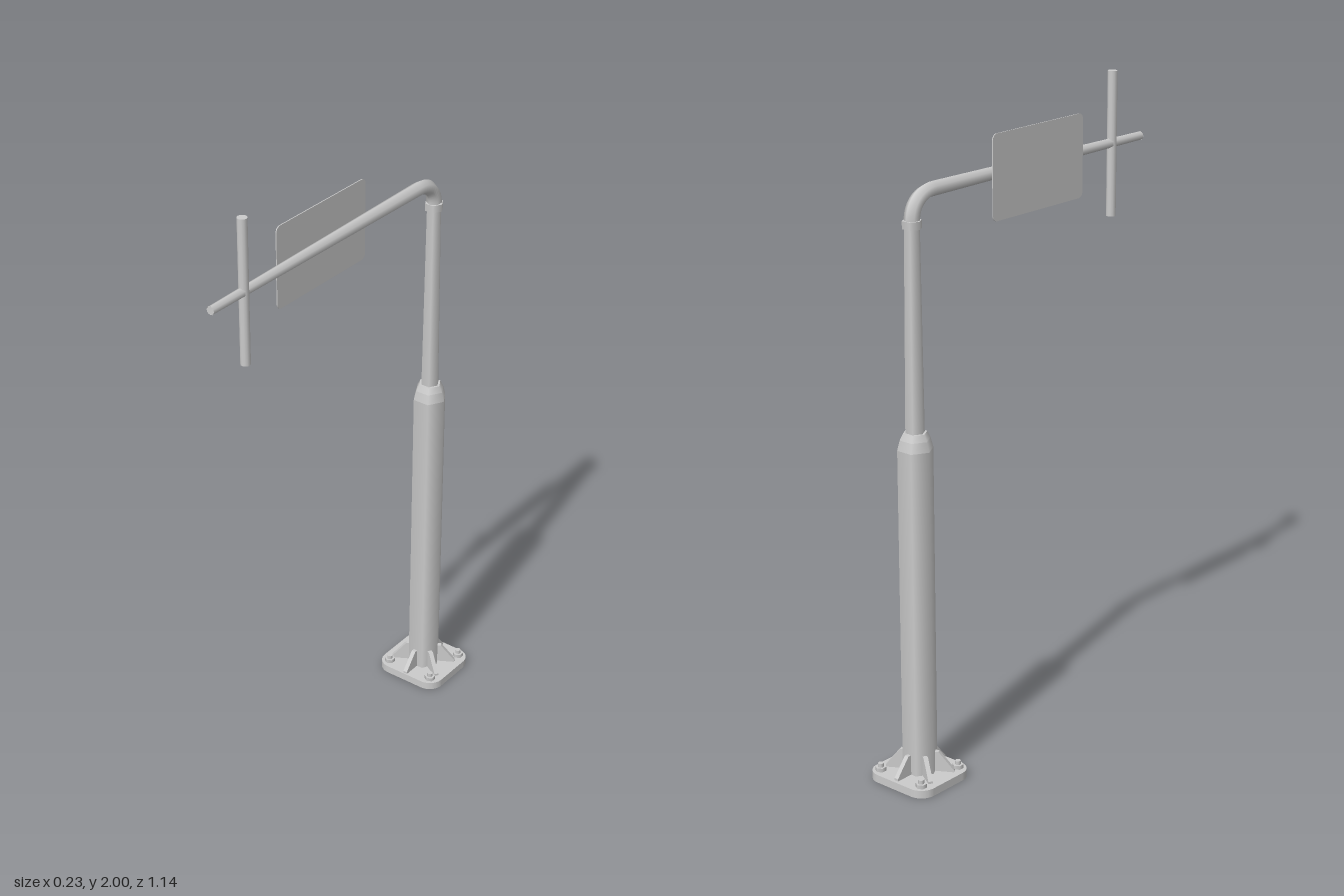
import * as THREE from 'three';

const POLE_Z = -0.457;
const HEX = Math.PI / 6; // turns a six-sided tube so its corners lie on x

export function createModel() {
  const root = new THREE.Group();
  const mat = new THREE.MeshStandardMaterial({ color: 0xcccccc, side: THREE.DoubleSide });

  const add = (name, geo, x = 0, y = 0, z = 0, parent = root) => {
    const mesh = new THREE.Mesh(geo, mat);
    mesh.name = name;
    mesh.position.set(x, y, z);
    parent.add(mesh);
    return mesh;
  };

  // Six-sided tapered tube between two heights on the pole axis
  const hexTube = (name, r0, r1, y0, y1, open = false) =>
    add(name, new THREE.CylinderGeometry(r1, r0, y1 - y0, 6, 1, open, HEX), 0, (y0 + y1) / 2, POLE_Z);

  const roundedRect = (w, h, r, C = THREE.Shape) => {
    const s = new C(), a = w / 2 - r, b = h / 2 - r;
    s.absarc(a, b, r, 0, Math.PI / 2);
    s.absarc(-a, b, r, Math.PI / 2, Math.PI);
    s.absarc(-a, -b, r, Math.PI, Math.PI * 1.5);
    s.absarc(a, -b, r, Math.PI * 1.5, Math.PI * 2);
    s.closePath();
    return s;
  };
  const extrude = (shape, depth) =>
    new THREE.ExtrudeGeometry(shape, { depth, bevelEnabled: false, curveSegments: 8 });

  // Base plate: hollow underneath, with a rim
  const base = new THREE.Group();
  base.name = 'base';
  base.position.z = -0.46;
  root.add(base);
  add('basePlate', extrude(roundedRect(0.232, 0.222, 0.048), 0.008).rotateX(-Math.PI / 2), 0, 0.017, 0, base);
  const rim = roundedRect(0.232, 0.222, 0.048);
  rim.holes.push(roundedRect(0.212, 0.202, 0.038, THREE.Path));
  add('baseRim', extrude(rim, 0.017).rotateX(-Math.PI / 2), 0, 0, 0, base);

  // Anchor bolts in the corners
  for (const sx of [-1, 1]) for (const sz of [-1, 1]) {
    const bolt = new THREE.Group();
    bolt.name = 'anchorBolt';
    bolt.position.set(sx * 0.082, 0.025, sz * 0.081);
    base.add(bolt);
    add('nut', new THREE.CylinderGeometry(0.017, 0.017, 0.012, 6), 0, 0.006, 0, bolt);
    add('stud', new THREE.CylinderGeometry(0.009, 0.009, 0.024, 8), 0, 0.012, 0, bolt);
  }

  // Six gussets on the faces of the pole
  const fin = new THREE.Shape([[0.03, 0.006], [0.104, 0.006], [0.104, 0.032], [0.058, 0.088], [0.03, 0.088]]
    .map(([x, y]) => new THREE.Vector2(x, y)));
  const finGeo = extrude(fin, 0.014).translate(0, 0, -0.007);
  for (let i = 0; i < 6; i++) {
    add('gusset', finGeo, 0, 0, POLE_Z).rotation.y = HEX + i * Math.PI / 3;
  }

  // Pole in stacked sections
  hexTube('lowerPole', 0.054, 0.054, 0.003, 1.04, true);
  hexTube('poleShoulder', 0.054, 0.046, 1.04, 1.07, true);
  hexTube('poleShoulderTop', 0.046, 0.036, 1.07, 1.09);
  hexTube('upperPole', 0.029, 0.023, 1.085, 1.7);
  hexTube('collar', 0.029, 0.029, 1.685, 1.708);

  // Bent arm, tapering toward its tip
  const P = (y, z) => new THREE.Vector3(0, y, z);
  const path = new THREE.CurvePath();
  path.add(new THREE.LineCurve3(P(1.69, POLE_Z), P(1.705, POLE_Z)));
  path.add(new THREE.CubicBezierCurve3(P(1.705, POLE_Z), P(1.75, POLE_Z), P(1.782, -0.425), P(1.782, -0.37)));
  path.add(new THREE.LineCurve3(P(1.782, -0.37), P(1.78, 0.57)));
  const steps = 90;
  const armGeo = new THREE.TubeGeometry(path, steps, 1, 6, false);
  const pos = armGeo.attributes.position, v = new THREE.Vector3();
  for (let i = 0; i <= steps; i++) {
    const c = path.getPointAt(i / steps);
    const r = THREE.MathUtils.lerp(0.0235, 0.0135, i / steps);
    for (let j = 0; j < 7; j++) {
      const k = i * 7 + j;
      v.fromBufferAttribute(pos, k).sub(c).multiplyScalar(r).add(c);
      pos.setXYZ(k, v.x, v.y, v.z);
    }
  }
  add('arm', armGeo);
  add('armTip', new THREE.CircleGeometry(0.0135, 6), 0, 1.78, 0.57);

  // Upright tube near the tip
  add('uprightTube', new THREE.CylinderGeometry(0.015, 0.015, 0.445, 12), 0, 1.7775, 0.43);

  // Thin sign panel on the right side of the arm
  add('signPanel', extrude(roundedRect(0.405, 0.255, 0.018), 0.003).rotateY(Math.PI / 2), -0.021, 1.7725, 0.0625);

  return root;
}
